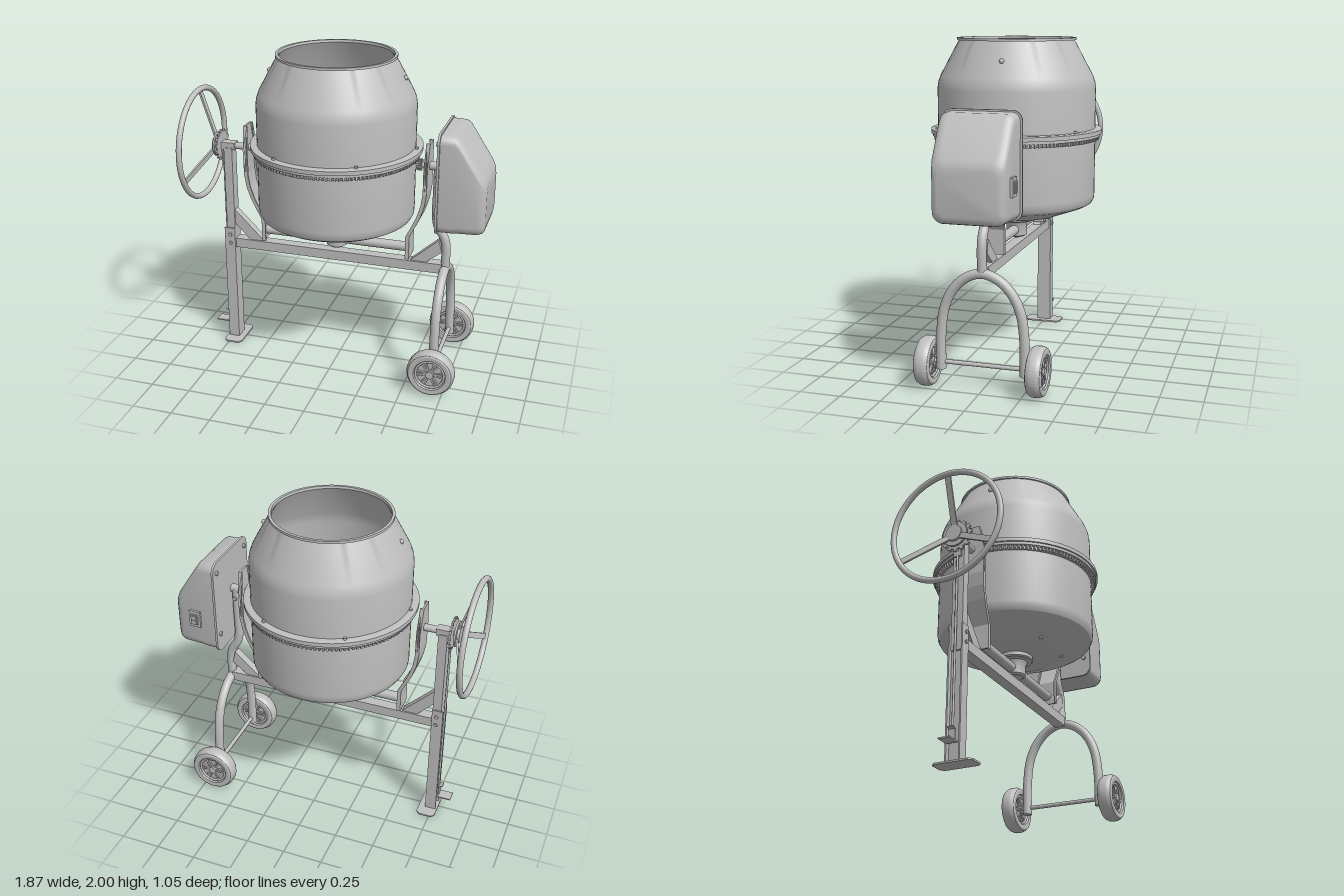
import * as THREE from 'three';
import { toCreasedNormals } from 'three/addons/utils/BufferGeometryUtils.js';

const V2 = (x, y) => new THREE.Vector2(x, y);
const V3 = (x, y, z) => new THREE.Vector3(x, y, z);
const shapeOf = pts => new THREE.Shape(pts.map(p => V2(...p)));

export function createModel() {
  const root = new THREE.Group();
  const grey = new THREE.MeshStandardMaterial({ color: 0xbfbfbf });
  grey.name = 'grey metal';
  const DX = -0.025; // drum axis
  const PY = 1.36;   // tilting axis height

  const add = (name, geo, x = 0, y = 0, z = 0, parent = root) => {
    const m = new THREE.Mesh(geo, grey);
    m.name = name;
    m.position.set(x, y, z);
    parent.add(m);
    return m;
  };
  const group = (name, x = 0, y = 0, z = 0, parent = root) => {
    const g = new THREE.Group();
    g.name = name;
    g.position.set(x, y, z);
    parent.add(g);
    return g;
  };
  const box = (w, h, d) => new THREE.BoxGeometry(w, h, d);
  const cylX = (r, l, n = 32) => new THREE.CylinderGeometry(r, r, l, n).rotateZ(Math.PI / 2);
  const cylY = (r, l, n = 32) => new THREE.CylinderGeometry(r, r, l, n);
  const cylZ = (r, l, n = 32) => new THREE.CylinderGeometry(r, r, l, n).rotateX(Math.PI / 2);
  const lathe = (pts, n = 80) => toCreasedNormals(new THREE.LatheGeometry(pts.map(p => V2(...p)), n), 0.5);
  const tube = (pts, r) => new THREE.TubeGeometry(new THREE.CatmullRomCurve3(pts.map(p => V3(...p))), 48, r, 20);
  const extrude = (shape, depth) => new THREE.ExtrudeGeometry(shape, { depth, bevelEnabled: false }).translate(0, 0, -depth / 2);

  // Drum: closed, thin-walled shell
  const drum = group('drum', DX, 0, 0);
  add('drumShell', lathe([
    [0, 0.9], [0.2, 0.9], [0.26, 0.912], [0.44, 0.978], [0.47, 0.995], [0.483, 1.02], [0.485, 1.05],
    [0.485, 1.7], [0.48, 1.735], [0.465, 1.775], [0.352, 1.985], [0.362, 1.985], [0.362, 2], [0.345, 2], [0.342, 1.985],
    [0.455, 1.77], [0.473, 1.7], [0.473, 1.03], [0.43, 0.99], [0.2, 0.912], [0, 0.912]]), 0, 0, 0, drum);
  add('drumFlange', lathe([[0.48, 1.408], [0.517, 1.408], [0.517, 1.425], [0.527, 1.425], [0.527, 1.45], [0.515, 1.455], [0.48, 1.455]]), 0, 0, 0, drum);

  // Toothed ring under the flange
  const gear = (n, r0, r1) => {
    const pts = [];
    for (let i = 0; i < n; i++) for (const [f, r] of [[0, r0], [0.4, r0], [0.5, r1], [0.9, r1]]) {
      const a = (i + f) / n * Math.PI * 2;
      pts.push([r * Math.cos(a), r * Math.sin(a)]);
    }
    return shapeOf(pts);
  };
  const ringShape = gear(130, 0.495, 0.51);
  ringShape.holes.push(new THREE.Path().absarc(0, 0, 0.482, 0, Math.PI * 2, true));
  add('toothedRing', extrude(ringShape, 0.024).rotateX(Math.PI / 2), 0, 1.398, 0, drum);

  // Drum bolts
  for (let i = 0; i < 6; i++) {
    const a = i * Math.PI / 3;
    add('flangeBolt', cylY(0.011, 0.016, 6), 0.497 * Math.cos(a), 1.459, 0.497 * Math.sin(a), drum);
  }
  for (const s of [-1, 1]) {
    add('coneBolt', new THREE.SphereGeometry(0.015, 12, 8), s * 0.413, 1.875, s * -0.03, drum);
    for (const t of [-1, 1]) add('baseBolt', new THREE.SphereGeometry(0.013, 12, 8), s * 0.15, 0.918 + 0.008, t * 0.245, drum);
  }

  // Mixing blades: ladder plates bent onto a sloping quad
  const bladeShape = shapeOf([[0, 0], [1, 0], [1, 1], [0.15, 1], [0, 0.88]]);
  for (const y of [0.12, 0.54]) bladeShape.holes.push(new THREE.Path([V2(0.2, y), V2(0.2, y + 0.32), V2(0.78, y + 0.32), V2(0.78, y)]));
  const A = V3(0.15, 1.15, 0.175), B = V3(0.42, 1.15, 0.19), C = V3(0.385, 1.8, -0.06), D = V3(0.23, 1.8, -0.03);
  const bladeGeo = extrude(bladeShape, 0.012);
  const bp = bladeGeo.attributes.position;
  for (let i = 0; i < bp.count; i++) {
    const u = bp.getX(i), v = bp.getY(i), w = bp.getZ(i);
    const p = A.clone().lerp(B, u).lerp(D.clone().lerp(C, u), v);
    bp.setXYZ(i, p.x, p.y + w * 0.35, p.z + w);
  }
  bladeGeo.computeVertexNormals();
  for (const r of [0, Math.PI]) add('mixingBlade', bladeGeo, 0, 0, 0, drum).rotation.y = r;

  // Drum bearing hub and yoke
  add('drumHub', lathe([[0, 0.765], [0.05, 0.765], [0.064, 0.775], [0.064, 0.84], [0.075, 0.862], [0.1, 0.866], [0.108, 0.874], [0.108, 0.895], [0.1, 0.902], [0, 0.902]], 40), DX, 0, 0);
  add('hubPin', cylY(0.012, 0.02), DX, 0.76, 0);
  add('yokeCrossPipe', cylX(0.03, 0.95), DX, 0.812, 0);
  const spine = [[0.47, 0.755], [0.47, 0.905], [0.5, 0.965], [0.535, 1.04], [0.56, 1.12], [0.572, 1.2], [0.573, 1.36], [0.578, 1.51]];
  const armShape = (a, b) => shapeOf([...spine.map(([x, y]) => [x + a, y]), ...spine.slice().reverse().map(([x, y]) => [x + b, y])]);
  const taper = geo => {
    const p = geo.attributes.position;
    for (let i = 0; i < p.count; i++) {
      const y = p.getY(i);
      p.setZ(i, p.getZ(i) * (y > 1.45 ? 0.75 : 1 + 0.3 * Math.min(1, Math.max(0, (y - 0.9) / 0.4))));
    }
    geo.computeVertexNormals();
    return geo;
  };
  for (const r of [0, Math.PI]) {
    const arm = group('yokeArm', DX, 0, 0);
    arm.rotation.y = r;
    add('armWeb', taper(extrude(armShape(0, 0.012), 0.13)), 0, 0, 0, arm);
    for (const z of [-0.06, 0.06]) add('armFlange', taper(extrude(armShape(-0.012, 0.012), 0.01).translate(0, 0, z)), 0, 0, 0, arm);
  }

  // Tilt axle ends and pinion
  add('leftAxle', cylX(0.017, 0.16), 0.58, PY, 0);
  add('leftBearing', cylX(0.027, 0.08), 0.6, PY, 0);
  add('pinion', extrude(gear(12, 0.028, 0.036), 0.03).rotateY(Math.PI / 2), 0.495, PY, 0);
  add('rightAxle', cylX(0.022, 0.25), -0.705, PY, 0);
  add('rightBearing', box(0.09, 0.045, 0.06), -0.735, PY, 0);

  // Lower frame
  add('frameBeam', box(1.36, 0.062, 0.07), -0.022, 0.702, 0);
  add('rightBrace', extrude(shapeOf([[-0.71, 0.935], [-0.71, 0.84], [-0.605, 0.73], [-0.505, 0.73]]), 0.05));
  add('leftBrace', extrude(shapeOf([[0.635, 0.89], [0.455, 0.73], [0.555, 0.73], [0.655, 0.81]]), 0.05));

  // Straight leg: inner tube, outer channel and foot
  add('legTube', box(0.055, 0.7, 0.07), -0.733, 1.0, 0);
  add('legWeb', box(0.012, 0.8, 0.09), -0.711, 0.405, 0);
  for (const z of [-0.041, 0.041]) add('legSide', box(0.068, 0.8, 0.009), -0.741, 0.405, z);
  add('legCore', box(0.012, 0.8, 0.075), -0.74, 0.405, 0);
  for (const y of [0.7, 0.76]) add('legBolt', cylZ(0.012, 0.11, 6), -0.735, y, 0);
  add('footPlate', extrude(shapeOf([[-0.06, -0.1], [-0.04, -0.122], [0.04, -0.122], [0.06, -0.1], [0.06, 0.1], [0.04, 0.122], [-0.04, 0.122], [-0.06, 0.1]]), 0.01).rotateX(-Math.PI / 2), -0.725, 0.005, 0);

  // Foot pedal and locking rod
  add('pedal', box(0.09, 0.008, 0.07), -0.82, 0.11, 0);
  add('pedalBracket', box(0.008, 0.08, 0.04), -0.78, 0.145, 0);
  add('pedalTab', box(0.03, 0.006, 0.04), -0.79, 0.187, 0).rotation.z = -0.3;
  add('lockRod', cylY(0.007, 1.14, 10), -0.775, 0.72, 0);
  add('lockPlate', box(0.008, 0.12, 0.05), -0.775, 1.29, 0);

  // Hand wheel with notched locking disc
  const wheel = group('handWheel', -0.918, PY, 0);
  add('wheelRim', new THREE.TorusGeometry(0.346, 0.018, 16, 72).rotateY(Math.PI / 2), 0, 0, 0, wheel);
  for (let i = 0; i < 3; i++) {
    const spoke = add('wheelSpoke', box(0.012, 0.325, 0.036).rotateZ(0.315).translate(0.05, 0.19, 0), 0, 0, 0, wheel);
    spoke.rotation.x = i * Math.PI * 2 / 3;
  }
  add('wheelHub', cylX(0.05, 0.03), 0.1, 0, 0, wheel);
  add('hubDisc', cylX(0.078, 0.012), 0.107, 0, 0, wheel);
  add('notchedDisc', extrude(gear(14, 0.085, 0.1), 0.012).rotateY(Math.PI / 2), 0.133, 0, 0, wheel);

  // Bent post and wheeled fork
  add('bentPost', tube([[0.61, 1.36, 0], [0.61, 1.2, 0], [0.61, 1.03, 0], [0.625, 0.965, 0], [0.66, 0.905, 0], [0.675, 0.85, 0], [0.675, 0.7, 0]], 0.028));
  add('postCap', cylY(0.028, 0.01), 0.61, 1.358, 0);
  add('postBolt', cylZ(0.014, 0.075, 6), 0.61, 1.3, 0);
  const half = [[0.675, 0.11, 0.253], [0.675, 0.33, 0.25], [0.675, 0.48, 0.228], [0.675, 0.59, 0.175], [0.675, 0.665, 0.095]];
  add('fork', tube([...half, [0.675, 0.695, 0], ...half.slice().reverse().map(([x, y, z]) => [x, y, -z])], 0.029));
  add('wheelAxle', cylZ(0.013, 0.74, 16), 0.675, 0.15, 0);
  for (const s of [-1, 1]) {
    add('forkEnd', cylY(0.029, 0.006, 20), 0.675, 0.11, s * 0.253);
    const w = group('roadWheel', 0.677, 0.147, s * 0.333);
    add('tyre', lathe([[0.095, -0.035], [0.1, -0.045], [0.125, -0.047], [0.135, -0.042], [0.147, -0.02], [0.147, 0.02], [0.135, 0.042], [0.125, 0.047], [0.1, 0.045], [0.095, 0.035], [0.095, -0.035]], 48).rotateX(Math.PI / 2), 0, 0, 0, w);
    add('wheelDisc', cylZ(0.097, 0.04, 48), 0, 0, 0, w);
    add('wheelBoss', cylZ(0.025, 0.084, 24), 0, 0, 0, w);
    for (const f of [-1, 1]) add('rimLip', new THREE.TorusGeometry(0.088, 0.008, 8, 40), 0, 0, f * 0.03, w);
    for (let i = 0; i < 6; i++) for (const o of [-0.15, 0.15])
      add('rimSpoke', box(0.07, 0.01, 0.064).translate(0.055, 0, 0), 0, 0, 0, w).rotation.z = i * Math.PI / 3 + o;
  }

  // Motor housing: rounded-rectangle cross-sections along x [x, bottom, top, halfDepth, radius]
  const sections = [[0.65, 1.015, 1.615, 0.22, 0.05], [0.74, 1.015, 1.612, 0.217, 0.05], [0.765, 1.016, 1.595, 0.216, 0.055],
    [0.885, 1.018, 1.415, 0.213, 0.06], [0.912, 1.026, 1.375, 0.205, 0.06], [0.925, 1.04, 1.35, 0.19, 0.055], [0.931, 1.065, 1.325, 0.168, 0.05]];
  const pos = [], idx = [], N = 28;
  for (const [x, y0, y1, hz, r] of sections) for (let i = 0; i < N; i++) {
    const q = Math.floor(i / 7), a = (q + (i % 7) / 6) * Math.PI / 2;
    const cz = (q === 0 || q === 3 ? 1 : -1) * (hz - r), cy = q < 2 ? y1 - r : y0 + r;
    pos.push(x, cy + r * Math.sin(a), cz + r * Math.cos(a));
  }
  for (let k = 0; k < sections.length - 1; k++) for (let i = 0; i < N; i++) {
    const a = k * N + i, b = k * N + (i + 1) % N;
    idx.push(a, b, a + N, b, b + N, a + N);
  }
  const last = (sections.length - 1) * N;
  for (let i = 1; i < N - 1; i++) idx.push(last, last + i + 1, last + i);
  // orient faces outward
  for (let i = 0; i < idx.length; i += 3) {
    const [a, b, c] = [0, 1, 2].map(j => V3().fromArray(pos, idx[i + j] * 3));
    const n = b.clone().sub(a).cross(c.clone().sub(a));
    if (n.dot(a.clone().add(b).add(c).divideScalar(3).sub(V3(0.7, 1.25, 0))) < 0) [idx[i + 1], idx[i + 2]] = [idx[i + 2], idx[i + 1]];
  }
  const housing = new THREE.BufferGeometry();
  housing.setAttribute('position', new THREE.Float32BufferAttribute(pos, 3));
  housing.setIndex(idx);
  add('motorHousing', toCreasedNormals(housing, 0.7));
  const plate = new THREE.Shape();
  const pw = 0.232, ph = 0.31, pr = 0.06;
  plate.absarc(pw - pr, ph - pr, pr, 0, Math.PI / 2);
  plate.absarc(pr - pw, ph - pr, pr, Math.PI / 2, Math.PI);
  plate.absarc(pr - pw, pr - ph, pr, Math.PI, Math.PI * 1.5);
  plate.absarc(pw - pr, pr - ph, pr, Math.PI * 1.5, Math.PI * 2);
  add('housingBackPlate', extrude(plate, 0.014).rotateY(Math.PI / 2), 0.649, 1.315, 0);
  for (const z of [-0.19, 0.19]) for (const y of [1.13, 1.56]) add('housingScrew', cylX(0.014, 0.014, 12), 0.637, y, z);
  add('switchPlate', box(0.075, 0.11, 0.016), 0.793, 1.225, -0.222);
  add('switchFrame', box(0.045, 0.07, 0.01), 0.793, 1.225, -0.233);
  for (const y of [1.21, 1.24]) add('switchButton', box(0.03, 0.024, 0.008), 0.793, y, -0.24);

  return root;
}
